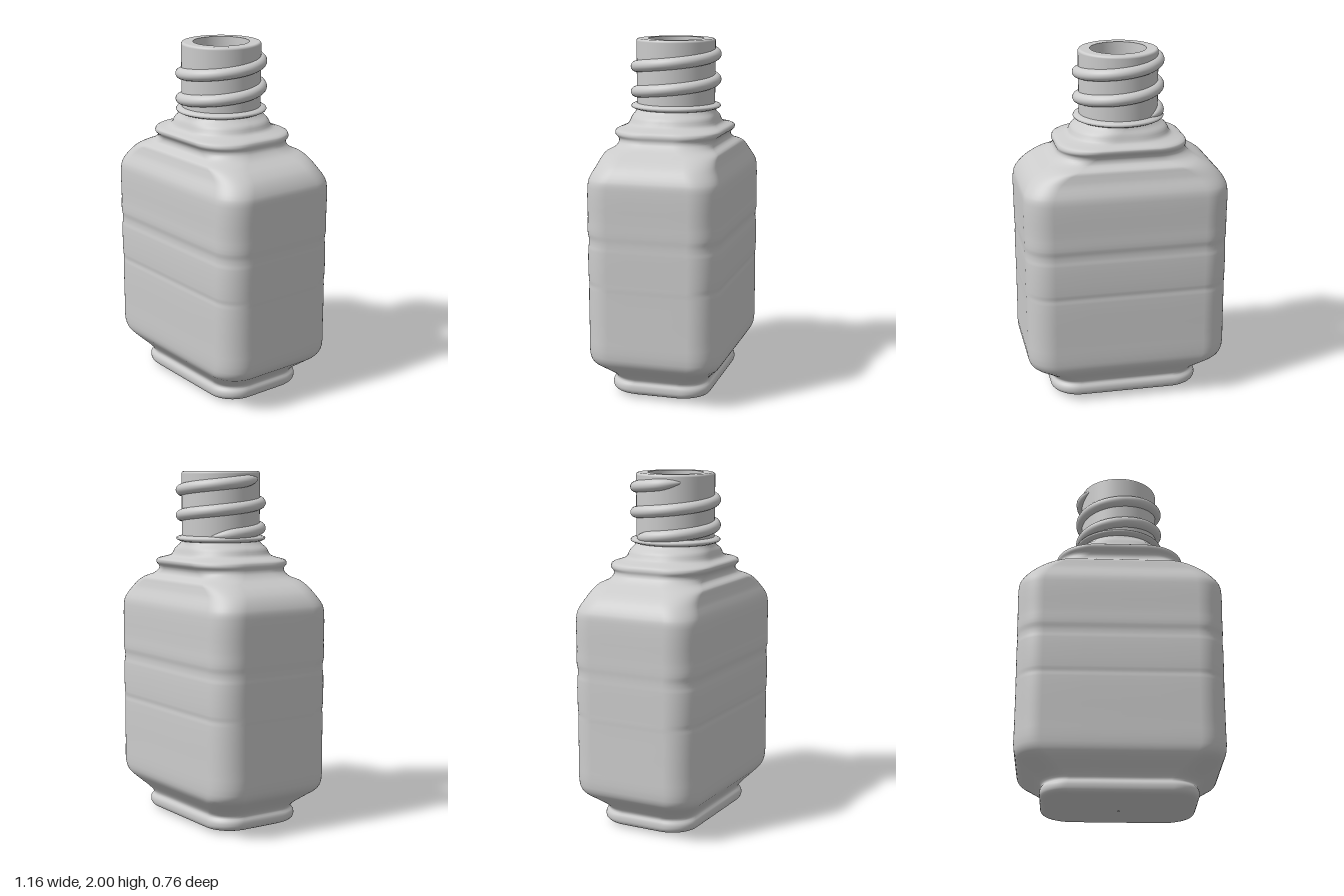
import * as THREE from 'three';

const material = new THREE.MeshStandardMaterial({ color: 0xcccccc, side: THREE.DoubleSide });

// Skin a list of rings (equal point counts) into a smooth surface
function loft(rings, closed) {
  const n = rings[0].length, index = [];
  const geo = new THREE.BufferGeometry().setFromPoints(rings.flat());
  for (let i = 0; i < rings.length - 1; i++) {
    for (let j = 0; j < (closed ? n : n - 1); j++) {
      const k = (j + 1) % n;
      const a = i * n + j, b = i * n + k, c = a + n, d = b + n;
      index.push(a, c, b, b, c, d);
    }
  }
  geo.setIndex(index);
  geo.computeVertexNormals();
  return geo;
}

// Horizontal rounded rectangle with half sizes hx, hz and corner radius r
function roundedRing(hx, hz, r, y) {
  const pts = [], arc = 12, side = 4;
  for (let q = 0; q < 4; q++) {
    const corner = (k) => [[1, 1], [-1, 1], [-1, -1], [1, -1]][k % 4];
    const [sx, sz] = corner(q);
    let p;
    for (let i = 0; i <= arc; i++) {
      const a = (q + i / arc) * Math.PI / 2;
      p = new THREE.Vector3(sx * (hx - r) + r * Math.cos(a), y, sz * (hz - r) + r * Math.sin(a));
      pts.push(p);
    }
    const [nx, nz] = corner(q + 1), a = (q + 1) * Math.PI / 2;
    const next = new THREE.Vector3(nx * (hx - r) + r * Math.cos(a), y, nz * (hz - r) + r * Math.sin(a));
    for (let i = 1; i < side; i++) pts.push(p.clone().lerp(next, i / side));
  }
  return pts;
}

// Body: rows of half width, height, half depth
function bodyGeometry() {
  const rows = [
    [0.005, 0, 0.005], [0.2, 0.001, 0.12], [0.37, 0.01, 0.23], [0.415, 0.02, 0.272],
    [0.43, 0.04, 0.284], [0.43, 0.07, 0.284], [0.42, 0.095, 0.27], [0.44, 0.125, 0.285],
    [0.5, 0.175, 0.33], [0.555, 0.22, 0.365], [0.573, 0.265, 0.375], [0.575, 0.4, 0.376],
    [0.575, 0.64, 0.376], [0.576, 0.67, 0.373], [0.576, 0.7, 0.377],
    [0.577, 0.87, 0.377], [0.576, 0.9, 0.373], [0.576, 0.93, 0.373], [0.578, 0.965, 0.379],
    [0.578, 1.05, 0.377], [0.579, 1.22, 0.376], [0.572, 1.265, 0.368], [0.535, 1.325, 0.34],
    [0.485, 1.365, 0.328], [0.435, 1.392, 0.318], [0.395, 1.415, 0.28], [0.37, 1.44, 0.272],
    [0.364, 1.46, 0.28], [0.368, 1.48, 0.3], [0.362, 1.5, 0.302], [0.325, 1.515, 0.268],
    [0.287, 1.53, 0.25], [0.27, 1.565, 0.238], [0.24, 1.59, 0.225], [0.22, 1.61, 0.22],
  ];
  const curve = new THREE.CatmullRomCurve3(rows.map((r) => new THREE.Vector3(...r)), false, 'centripetal');
  const rings = [], steps = (rows.length - 1) * 3;
  for (let i = 0; i <= steps; i++) {
    const p = curve.getPoint(i / steps);
    // corners grow rounder towards the circular neck
    const r = 0.15 + 0.07 * THREE.MathUtils.smoothstep(p.y, 1.36, 1.52);
    rings.push(roundedRing(p.x, p.z, Math.min(r, p.x * 0.999, p.z * 0.999), Math.max(p.y, 0)));
  }
  return loft(rings, true);
}

// Screw thread: rounded ridge rising around the neck, fading at both ends
function threadGeometry() {
  const start = -0.9, end = 4 * Math.PI + 0.7, steps = 260, rings = [];
  for (let i = 0; i <= steps; i++) {
    const t = start + (end - start) * i / steps;
    const fade = Math.min(1, (t - start) / 0.7, (end - t) / 0.7);
    const size = Math.sin(fade * Math.PI / 2);
    const y = 1.657 + 0.143 * t / (2 * Math.PI);
    const ring = [];
    for (let j = 0; j <= 12; j++) {
      const a = -Math.PI / 2 + Math.PI * j / 12;
      const r = 0.217 + 0.04 * size * Math.cos(a);
      ring.push(new THREE.Vector3(-r * Math.cos(t), y + 0.034 * size * Math.sin(a), r * Math.sin(t)));
    }
    rings.push(ring);
  }
  return loft(rings, false);
}

function lathe(points) {
  return new THREE.LatheGeometry(points.map(([x, y]) => new THREE.Vector2(x, y)), 64);
}

export function createModel() {
  const group = new THREE.Group();
  const add = (name, geometry) => {
    const mesh = new THREE.Mesh(geometry, material);
    mesh.name = name;
    group.add(mesh);
  };

  add('body', bodyGeometry());

  // Neck wall and rounded lip
  const lip = [];
  for (let i = 0; i <= 6; i++) {
    const a = i / 6 * Math.PI / 2;
    lip.push([0.21 + 0.014 * Math.cos(a), 1.986 + 0.014 * Math.sin(a)]);
  }
  add('neck', lathe([[0.222, 1.59], [0.223, 1.8], ...lip]));
  add('rim', lathe([[0.21, 2], [0.157, 2]]));

  // Bore inside the neck, ending in a bowl
  const bore = [[0.157, 2], [0.155, 1.9], [0.155, 0.5]];
  for (let i = 1; i <= 12; i++) {
    const a = i / 12 * Math.PI / 2;
    bore.push([0.155 * Math.cos(a), 0.5 - 0.155 * Math.sin(a)]);
  }
  add('bore', lathe(bore));

  // Thin collar under the thread
  add('collar', lathe([
    [0.218, 1.603], [0.238, 1.608], [0.252, 1.615], [0.256, 1.622], [0.252, 1.629], [0.238, 1.635], [0.218, 1.64],
  ]));

  add('thread', threadGeometry());
  return group;
}
